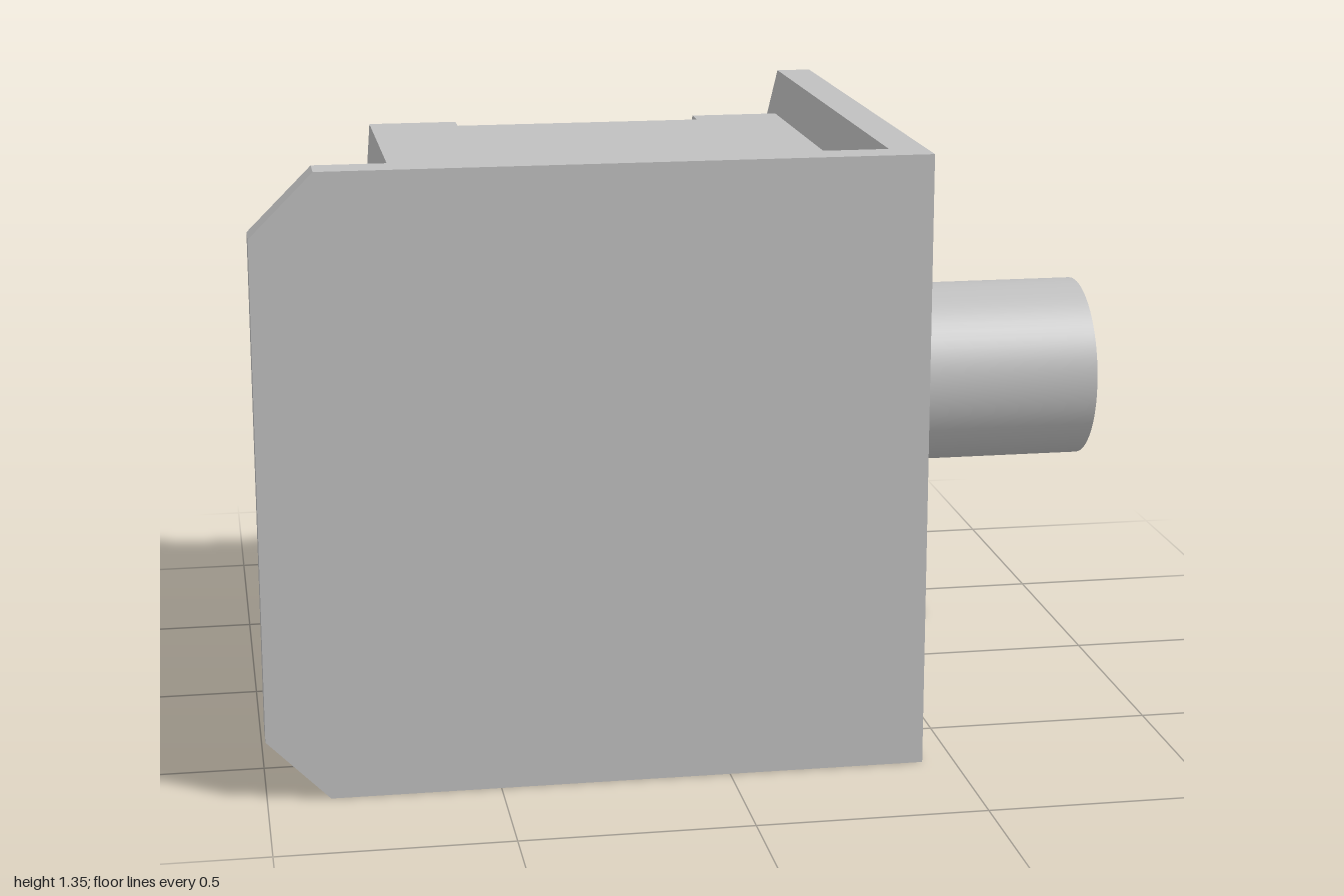
import * as THREE from 'three';
import { toCreasedNormals } from 'three/addons/utils/BufferGeometryUtils.js';

const AXIS_Y = 0.677, AXIS_Z = -0.135; // motor axis, running along x

// Closed outline from corner points
function outline(points) {
  return new THREE.Shape(points.map(([u, v]) => new THREE.Vector2(u, v)));
}

// Square with all four corners cut at 45 degrees
function cutSquare(h, c) {
  return outline([
    [-h + c, -h], [h - c, -h], [h, -h + c], [h, h - c],
    [h - c, h], [-h + c, h], [-h, h - c], [-h, -h + c],
  ]);
}

// Extrude an outline drawn in (-z, y) along x, from x0 to x1
function extrudeX(shape, x0, x1) {
  const geo = new THREE.ExtrudeGeometry(shape, { depth: x1 - x0, bevelEnabled: false, curveSegments: 48 });
  geo.rotateY(Math.PI / 2).translate(x0, 0, 0);
  return toCreasedNormals(geo, 0.5);
}

function cylinderX(r, x0, x1) {
  return new THREE.CylinderGeometry(r, r, x1 - x0, 64)
    .rotateZ(-Math.PI / 2).translate((x0 + x1) / 2, 0, 0);
}

export function createModel() {
  const model = new THREE.Group();
  model.name = 'motorOnBracket';
  const grey = new THREE.MeshStandardMaterial({ color: 0xc0c0c0 });
  grey.name = 'plain grey';

  const add = (parent, name, geo) => {
    const mesh = new THREE.Mesh(geo, grey);
    mesh.name = name;
    parent.add(mesh);
  };

  // L-shaped bracket: both plates have their free corners cut
  const bracket = new THREE.Group();
  bracket.name = 'bracket';
  model.add(bracket);
  const H = 1.353, CUT = 0.135;

  const front = outline([[-1 + CUT, 0], [0.35, 0], [0.35, H], [-1 + CUT, H], [-1, H - CUT], [-1, CUT]]);
  add(bracket, 'frontPlate',
    new THREE.ExtrudeGeometry(front, { depth: 0.08, bevelEnabled: false }).translate(0, 0, 0.622));

  const side = outline([[-0.702, 0], [0.702 - CUT, 0], [0.702, CUT], [0.702, H - CUT], [0.702 - CUT, H], [-0.702, H]]);
  const hole = new THREE.Path();
  hole.absarc(-AXIS_Z, AXIS_Y, 0.298, 0, Math.PI * 2, true);
  side.holes.push(hole);
  add(bracket, 'sidePlate', extrudeX(side, 0.35, 0.43));

  // Motor, built around its own axis
  const motor = new THREE.Group();
  motor.name = 'motor';
  motor.position.set(0, AXIS_Y, AXIS_Z);
  model.add(motor);

  const half = 0.564;
  add(motor, 'rearCap', extrudeX(cutSquare(half, 0.108), -0.664, -0.453));
  add(motor, 'middleBody', extrudeX(cutSquare(half, 0.17), -0.453, 0.14));
  add(motor, 'frontCap', extrudeX(cutSquare(half, 0.108), 0.14, 0.35));
  add(motor, 'pilotBoss', cylinderX(0.29, 0.35, 0.39));

  // Shaft with a flat on its underside
  const shaft = new THREE.Shape();
  shaft.absarc(0, 0, 0.067, -0.92, Math.PI + 0.92, false);
  shaft.closePath();
  add(motor, 'shaft', extrudeX(shaft, 0.39, 0.568));
  add(motor, 'pulley', cylinderX(0.213, 0.567, 1));

  return model;
}
